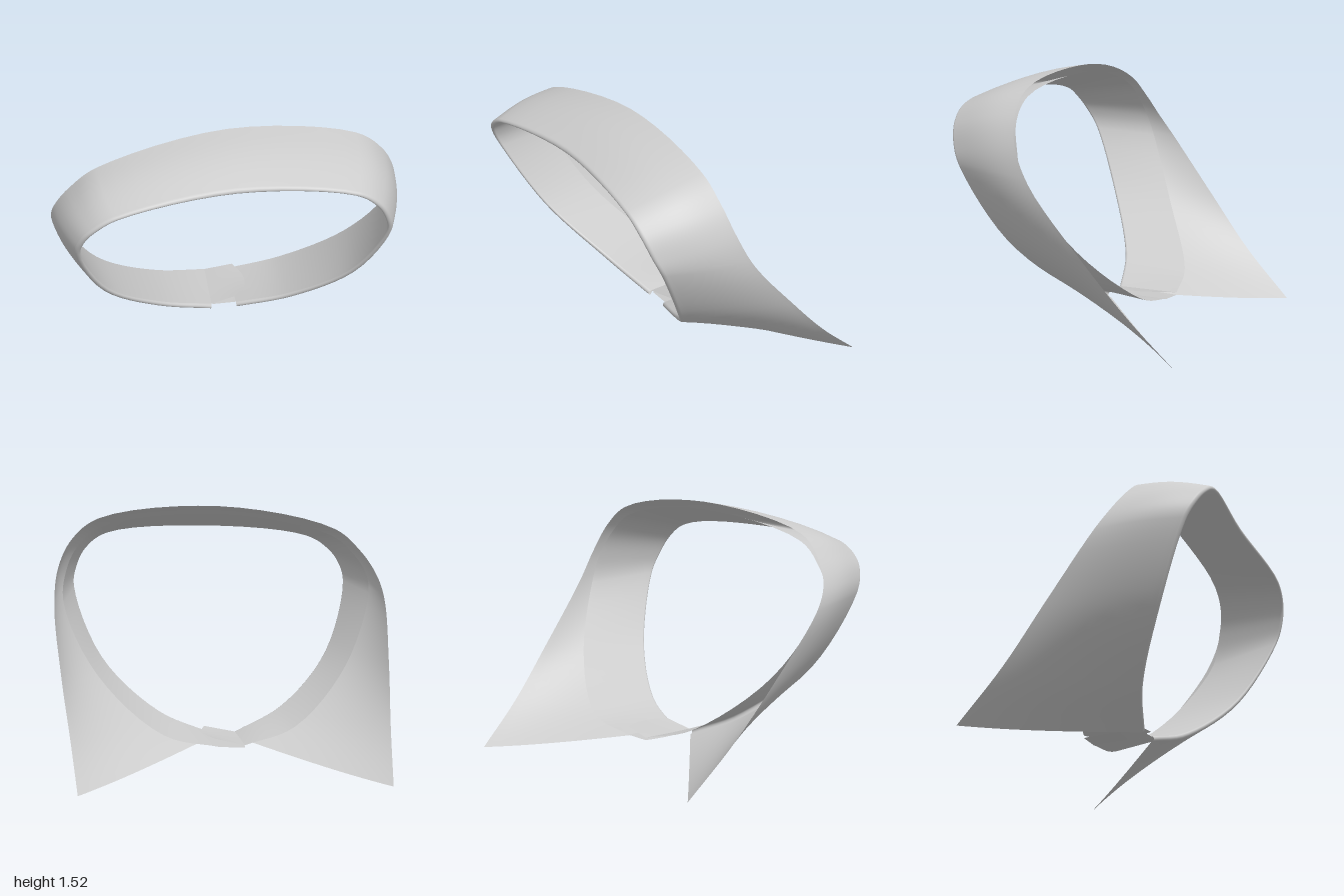
import * as THREE from 'three';

const V = (x, y, z) => new THREE.Vector3(x, y, z);
const curve = (pts) => new THREE.CatmullRomCurve3(pts.map((p) => V(...p)));

// Matching stations along three edges, from the right front end, around the raised back, to the left front end.
const foldLine = curve([
  [-0.07, 0.17, 0.06], [-0.38, 0.3, 0.17], [-0.7, 0.59, 0.39], [-0.855, 1.0, 0.6], [-0.83, 1.12, 0.66],
  [-0.77, 1.2, 0.69], [-0.64, 1.28, 0.7], [0, 1.36, 0.65], [0.64, 1.32, 0.69], [0.77, 1.23, 0.68],
  [0.83, 1.12, 0.65], [0.85, 1.0, 0.6], [0.7, 0.59, 0.39], [0.38, 0.29, 0.17], [0.08, 0.17, 0.06],
]);
const flapEdge = curve([
  [-0.85, 0, -0.72], [-0.905, 0.28, -0.43], [-0.96, 0.6, -0.16], [-1, 0.96, 0.13], [-0.965, 1.1, 0.22],
  [-0.88, 1.23, 0.27], [-0.73, 1.36, 0.3], [0, 1.515, 0.24], [0.72, 1.45, 0.26], [0.88, 1.33, 0.25],
  [0.965, 1.17, 0.21], [0.998, 0.96, 0.11], [0.98, 0.58, -0.19], [0.95, 0.27, -0.46], [0.93, 0.02, -0.72],
]);
const bandEdge = curve([
  [-0.07, 0.17, -0.3], [-0.38, 0.25, -0.22], [-0.75, 0.57, 0.04], [-0.93, 0.97, 0.24], [-0.92, 1.09, 0.28],
  [-0.85, 1.2, 0.3], [-0.71, 1.32, 0.31], [0, 1.47, 0.245], [0.7, 1.4, 0.27], [0.85, 1.28, 0.26],
  [0.92, 1.14, 0.22], [0.94, 0.96, 0.17], [0.76, 0.56, -0.06], [0.4, 0.24, -0.28], [0.08, 0.165, -0.3],
]);

const material = new THREE.MeshStandardMaterial({ color: 0xcccccc, side: THREE.DoubleSide });

// Smooth sheet through a grid of points given by at(u, v)
function sheet(name, nu, nv, at) {
  const pos = [], index = [];
  for (let i = 0; i <= nu; i++) {
    for (let j = 0; j <= nv; j++) {
      pos.push(...at(i / nu, j / nv).toArray());
      if (i < nu && j < nv) {
        const a = i * (nv + 1) + j, b = a + nv + 1;
        index.push(a, b, a + 1, b, b + 1, a + 1);
      }
    }
  }
  const geo = new THREE.BufferGeometry();
  geo.setAttribute('position', new THREE.Float32BufferAttribute(pos, 3));
  geo.setIndex(index);
  geo.computeVertexNormals();
  const mesh = new THREE.Mesh(geo, material);
  mesh.name = name;
  return mesh;
}

// Outward direction of the neck opening
const outward = (p) => V(p.x, p.y - 0.8, 0).normalize();
const GAP = 0.032;

// Outer flap, straight from the fold to its pointed lower edge
function flapPoint(u, v) {
  const f = foldLine.getPoint(u), out = outward(f);
  const swell = GAP + 0.012 * Math.sin(Math.PI * v) * Math.sin(Math.PI * u);
  return f.clone().lerp(flapEdge.getPoint(u), v).addScaledVector(out, swell * (1 - v * v * v));
}

// Rounded fold joining band and flap
function rollPoint(u, v) {
  const f = foldLine.getPoint(u), out = outward(f);
  const up = f.clone().sub(bandEdge.getPoint(u)).normalize();
  const a = Math.PI * v, r = GAP / 2;
  return f.addScaledVector(out, r * (1 - Math.cos(a))).addScaledVector(up, r * Math.sin(a));
}

// Inner band, from the fold to the neck seam
const bandPoint = (u, v) => foldLine.getPoint(u).lerp(bandEdge.getPoint(u), v);

// Closing tab that continues one end of the band, with a rounded end
function tab(name, end, top, bottom, bulge) {
  return sheet(name, 6, 10, (u, v) => {
    const tip = V(...top).lerp(V(...bottom), v);
    tip.x += bulge * Math.sin(Math.PI * v);
    return bandPoint(end, v).lerp(tip, u);
  });
}

export function createModel() {
  const collar = new THREE.Group();
  collar.name = 'collar';
  collar.add(
    sheet('collarFlap', 84, 16, flapPoint),
    sheet('collarFold', 84, 8, rollPoint),
    sheet('collarBand', 84, 10, bandPoint),
    tab('overlapTab', 0, [0.12, 0.215, 0.045], [0.1, 0.21, -0.28], 0.045),
    tab('underlapTab', 1, [-0.06, 0.158, 0.05], [-0.07, 0.155, -0.3], -0.02),
  );
  return collar;
}
